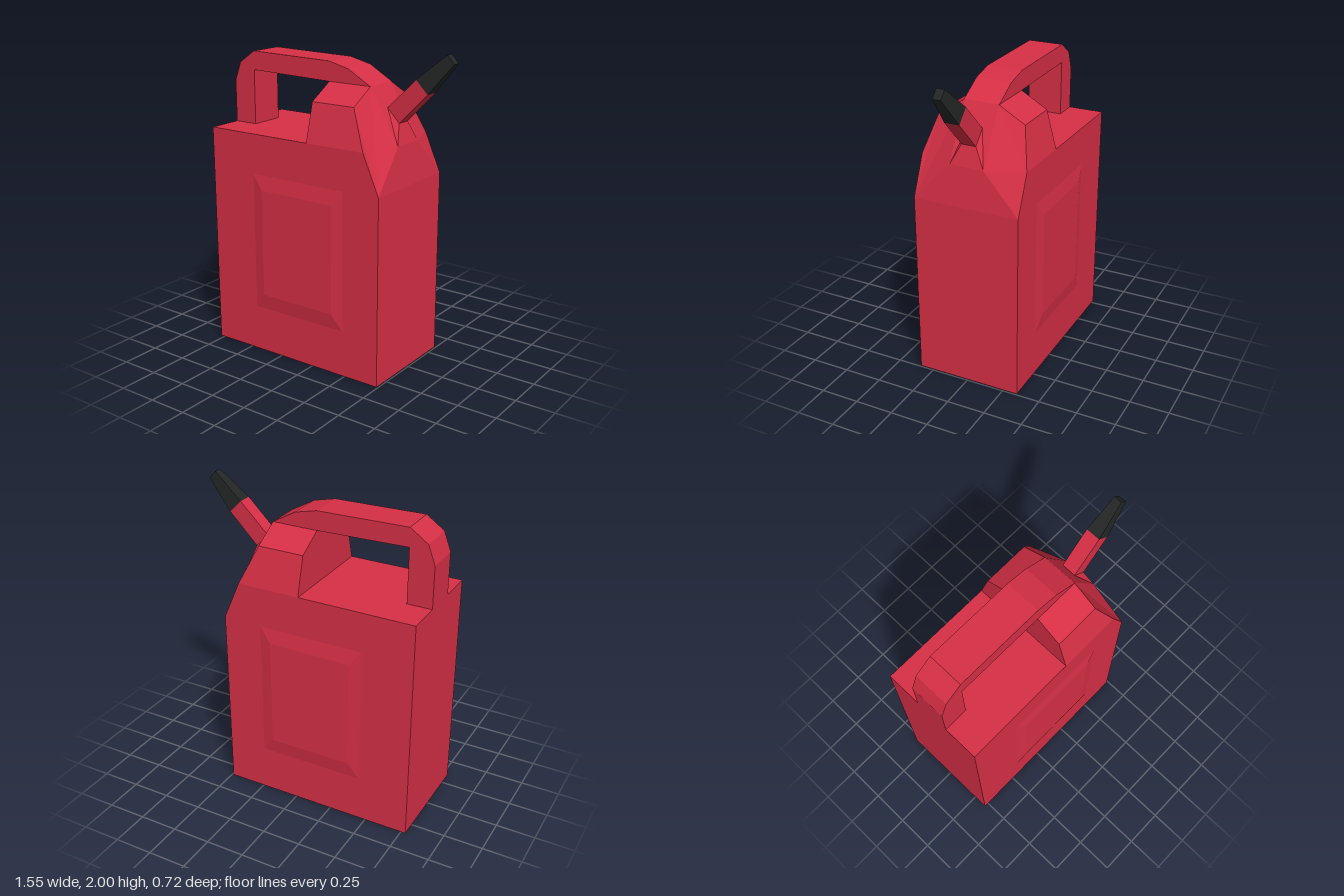
import * as THREE from 'three';

const red = new THREE.MeshStandardMaterial({ color: 0xd62f45, side: THREE.DoubleSide });
red.name = 'red plastic';
const black = new THREE.MeshStandardMaterial({ color: 0x242626, side: THREE.DoubleSide });
black.name = 'black nozzle';

const flip = ([x, y, z]) => [x, y, -z];
// a face on the +z half together with its mirror image
const pair = (...p) => [p, p.map(flip).reverse()];
// faces bridging the two halves along a profile that runs counter-clockwise
const spans = (...p) => p.slice(1).map((q, i) => [p[i], flip(p[i]), flip(q), q]);

// flat-shaded mesh from convex polygons
function faceMesh(name, polygons, material) {
  const pos = [];
  for (const p of polygons) {
    for (let i = 1; i < p.length - 1; i++) pos.push(...p[0], ...p[i], ...p[i + 1]);
  }
  const g = new THREE.BufferGeometry();
  g.setAttribute('position', new THREE.Float32BufferAttribute(pos, 3));
  g.computeVertexNormals();
  const m = new THREE.Mesh(g, material);
  m.name = name;
  return m;
}

export function createModel() {
  const group = new THREE.Group();
  group.name = 'fuelCan';

  const W = 0.345;
  // body corners, +z half
  const backLow = [-0.78, 0, W], backTop = [-0.78, 1.45, W];
  const frontLow = [0.49, 0, W], shoulder = [0.49, 1.2, W], corner = [0.38, 1.45, W];
  // raised housing
  const wallLow = [-0.03, 1.45, W], wallMid = [-0.03, 1.69, 0.28], wallTop = [-0.03, 1.787, 0.11];
  const roofMid = [0.27, 1.69, 0.28], roofTop = [0.27, 1.787, 0.11], nose = [0.465, 1.45, 0.11];
  // spout sections: upper and lower corners
  const s1 = [0.35, 1.66, 0.047], s2 = [0.432, 1.575, 0.047];
  const m1 = [0.54, 1.845, 0.047], m2 = [0.62, 1.765, 0.047];
  const t1 = [0.73, 2.0, 0.026], t2 = [0.775, 1.95, 0.026];

  // embossed panel rims
  const rect = (x0, x1, y0, y1, z) => [[x0, y0, z], [x1, y0, z], [x1, y1, z], [x0, y1, z]];
  const rim = rect(-0.45, 0.235, 0.3, 1.195, W);
  const face = rect(-0.375, 0.16, 0.4, 1.1, 0.36);
  const [bl, br, tr, tl] = rim;

  // open-bottomed tank with frames around the panels
  group.add(faceMesh('tank', [
    ...pair(backLow, bl, tl, backTop),
    ...pair(backLow, frontLow, br, bl),
    ...pair(frontLow, shoulder, corner, tr, br),
    ...pair(tl, tr, corner, backTop),
    ...spans(frontLow, shoulder),
    ...spans(wallLow, backTop, backLow),
  ], red));

  const panelFaces = [...pair(...face)];
  for (let i = 0; i < 4; i++) {
    const j = (i + 1) % 4;
    panelFaces.push(...pair(rim[i], rim[j], face[j], face[i]));
  }
  group.add(faceMesh('sidePanels', panelFaces, red));

  // tapered housing that carries the spout
  group.add(faceMesh('spoutHousing', [
    ...pair(wallLow, corner, roofMid, wallMid),
    ...pair(wallMid, roofMid, roofTop, wallTop),
    ...pair(shoulder, nose, roofTop, roofMid, corner),
    ...spans(shoulder, nose, roofTop),
    ...spans(wallTop, wallMid, wallLow),
  ], red));

  // gusset and square spout
  group.add(faceMesh('spoutGusset', [...pair(nose, s2, s1), ...spans(nose, s2)], red));
  group.add(faceMesh('spout', [...pair(s2, m2, m1, s1), ...spans(s2, m2), ...spans(m1, s1)], red));
  group.add(faceMesh('nozzle', [...pair(m2, t2, t1, m1), ...spans(m2, t2, t1, m1)], black));

  // arched carrying handle
  const outline = [
    [-0.78, 1.45], [-0.62, 1.45], [-0.62, 1.8], [-0.03, 1.787], [0.27, 1.787],
    [0.115, 1.875], [-0.03, 1.91], [-0.62, 1.92], [-0.735, 1.84], [-0.78, 1.72],
  ].map(([x, y]) => new THREE.Vector2(x, y));
  const handle = new THREE.Mesh(
    new THREE.ExtrudeGeometry(new THREE.Shape(outline), { depth: 0.23, bevelEnabled: false }), red);
  handle.name = 'handle';
  handle.position.z = -0.115;
  group.add(handle);

  return group;
}
